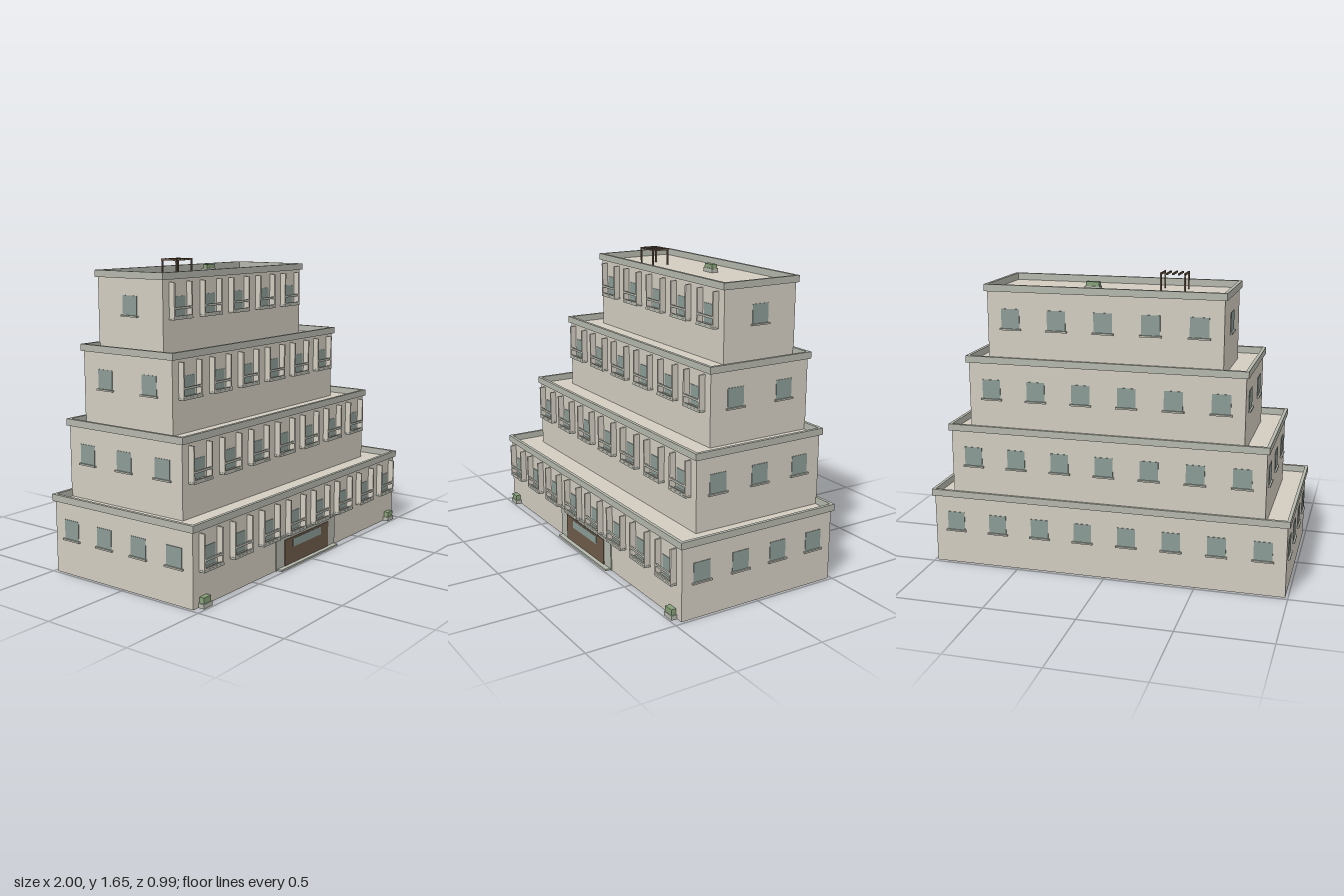
import * as THREE from 'three';

const mat = (color) => new THREE.MeshStandardMaterial({ color, flatShading: true });

export function createModel() {
  const wall = mat(0xd2ccc0), trim = mat(0xb4b7ac), glass = mat(0x8b9b96);
  const wood = mat(0x6e5a4a), green = mat(0x87a078);
  const model = new THREE.Group();
  model.name = 'terracedBuilding';

  // Box given by its extents
  const box = (parent, name, m, x0, x1, y0, y1, z0, z1) => {
    const mesh = new THREE.Mesh(new THREE.BoxGeometry(x1 - x0, y1 - y0, z1 - z0), m);
    mesh.position.set((x0 + x1) / 2, (y0 + y1) / 2, (z0 + z1) / 2);
    mesh.name = name;
    parent.add(mesh);
    return mesh;
  };
  const group = (parent, name) => {
    const g = new THREE.Group();
    g.name = name;
    parent.add(g);
    return g;
  };

  // Window with sill, facing +z, origin at the bottom of the glass on the wall
  const addWindow = (parent, x, y, z, turn) => {
    const g = group(parent, 'window');
    box(g, 'pane', glass, -0.05, 0.05, 0, 0.105, -0.004, 0.003);
    box(g, 'sill', trim, -0.058, 0.058, -0.008, 0.001, -0.004, 0.012);
    g.position.set(x, y, z);
    g.rotation.y = turn;
  };

  // Balcony: floor, side fins and railing
  const addBalcony = (parent, x, y, z) => {
    const g = group(parent, 'balcony');
    box(g, 'floor', trim, -0.078, 0.078, -0.014, -0.003, -0.004, 0.035);
    for (const s of [-1, 1]) box(g, 'sideFin', wall, s * 0.071 - 0.005, s * 0.071 + 0.005, -0.003, 0.181, -0.004, 0.034);
    box(g, 'rail', trim, -0.068, 0.068, 0.04, 0.052, 0.024, 0.034);
    box(g, 'lowerRail', trim, -0.068, 0.068, -0.003, 0.006, 0.026, 0.034);
    g.position.set(x, y, z);
  };

  // Four tiers stepping back from front and sides, with a shared back wall
  const back = -0.481, rise = 0.3875, lip = 0.013, thick = 0.018;
  for (let i = 0; i < 4; i++) {
    const tier = group(model, 'tier' + (i + 1));
    const w = 0.985 - 0.1183 * i, front = 0.457 - 0.1597 * i;
    const y0 = rise * i, top = y0 + 0.39;
    box(tier, 'walls', wall, -w, w, i ? y0 - 0.01 : 0, top, back, front);

    // Parapet ring
    const ox = w + lip, oz = front + lip, ob = back - lip, p0 = top, p1 = top + 0.037;
    const ring = new THREE.Shape([[-ox, -oz], [ox, -oz], [ox, -ob], [-ox, -ob]].map(([a, b]) => new THREE.Vector2(a, b)));
    const ix = ox - thick, iz = oz - thick, ib = ob + thick;
    ring.holes.push(new THREE.Path([[-ix, -iz], [-ix, -ib], [ix, -ib], [ix, -iz]].map(([a, b]) => new THREE.Vector2(a, b))));
    const geo = new THREE.ExtrudeGeometry(ring, { depth: p1 - p0, bevelEnabled: false }).rotateX(-Math.PI / 2);
    const parapet = new THREE.Mesh(geo, trim);
    parapet.position.y = p0;
    parapet.name = 'parapet';
    tier.add(parapet);

    // Front balconies, front and back windows
    const n = 8 - i, y = y0 + 0.195;
    for (let k = 0; k < n; k++) {
      const x = -w + (k + 0.5) * 2 * w / n;
      addWindow(tier, x, y, front, 0);
      addBalcony(tier, x, y, front);
      addWindow(tier, x, y, back, Math.PI);
    }
    // Side windows
    const m = 4 - i;
    for (let k = 0; k < m; k++) {
      const z = back + (k + 0.5) * (front - back) / m;
      addWindow(tier, w, y, z, Math.PI / 2);
      addWindow(tier, -w, y, z, -Math.PI / 2);
    }
  }

  // Entrance
  const entrance = group(model, 'entrance');
  box(entrance, 'surround', trim, -0.292, 0.292, 0, 0.174, 0.45, 0.463);
  box(entrance, 'door', wood, -0.218, 0.218, 0.01, 0.156, 0.45, 0.467);
  box(entrance, 'doorGlass', glass, -0.14, 0.14, 0.1, 0.146, 0.46, 0.469);
  box(entrance, 'canopy', trim, -0.352, 0.352, 0.172, 0.181, 0.45, 0.469);
  box(entrance, 'step', trim, -0.282, 0.282, 0, 0.01, 0.45, 0.491);

  // Planters by the front corners
  for (const s of [-1, 1]) {
    const planter = group(model, 'planter');
    box(planter, 'pot', trim, -0.034, 0.034, 0, 0.024, -0.017, 0.017);
    box(planter, 'shrub', green, -0.028, 0.028, 0.024, 0.055, -0.014, 0.014);
    planter.position.set(s * 0.912, 0, 0.474);
  }

  // Roof planter and pergola
  const roof = 3 * rise + 0.39;
  const roofPlanter = group(model, 'roofPlanter');
  box(roofPlanter, 'pot', trim, 0.06, 0.143, roof, roof + 0.022, -0.325, -0.283);
  box(roofPlanter, 'shrub', green, 0.066, 0.137, roof + 0.022, roof + 0.045, -0.32, -0.288);

  const pergola = group(model, 'pergola');
  for (let k = 0; k < 5; k++) {
    const x = -0.377 + 0.032 * k;
    box(pergola, 'beam', wood, x - 0.004, x + 0.004, 1.637, 1.647, -0.25, -0.14);
    if (k % 4 === 0) for (const z of [-0.242, -0.144])
      box(pergola, 'post', wood, x - 0.004, x + 0.004, roof, 1.637, z - 0.004, z + 0.004);
  }
  return model;
}
